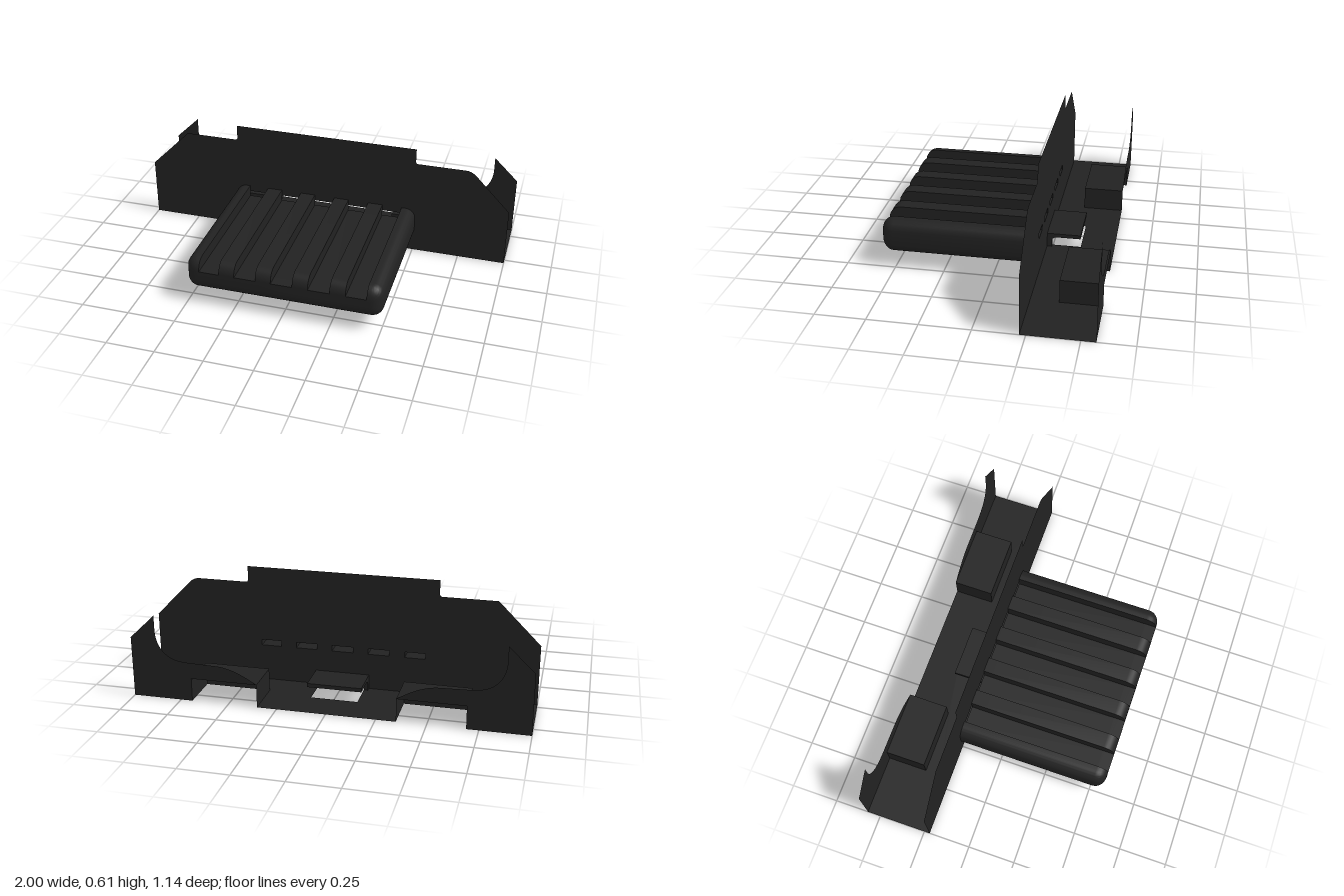
import * as THREE from 'three';
import { toCreasedNormals } from 'three/addons/utils/BufferGeometryUtils.js';

const black = new THREE.MeshStandardMaterial({ color: 0x222222, side: THREE.DoubleSide });
black.name = 'matte black plastic';

const BACK = -0.57, FRONT = -0.22, FLOOR = 0.035;
const RIBS = [-0.285, -0.095, 0.095, 0.285];
const GROOVE_EDGES = [-0.43, ...RIBS.flatMap((x) => [x - 0.04, x + 0.04]), 0.43];

function polygon(points) {
  return new THREE.Shape(points.map(([x, y]) => new THREE.Vector2(x, y)));
}

function rect(x0, x1, y0, y1) {
  return [[x0, y0], [x1, y0], [x1, y1], [x0, y1]];
}

// Upright face plate with shoulders, raised top, bottom notch and slits over the grooves
function facePlate() {
  const s = polygon([[-1, FLOOR], [-0.12, FLOOR], [-0.12, 0.09], [0.12, 0.09], [0.12, FLOOR], [1, FLOOR], [1, 0.35]]);
  s.lineTo(0.81, 0.545);
  s.quadraticCurveTo(0.785, 0.565, 0.76, 0.565);
  s.lineTo(0.51, 0.565);
  s.quadraticCurveTo(0.495, 0.565, 0.495, 0.58);
  s.lineTo(0.495, 0.65);
  s.lineTo(-0.495, 0.65);
  s.lineTo(-0.495, 0.58);
  s.quadraticCurveTo(-0.495, 0.565, -0.51, 0.565);
  s.lineTo(-0.785, 0.565);
  s.lineTo(-1, 0.35);
  for (let i = 0; i < GROOVE_EDGES.length; i += 2) {
    s.holes.push(polygon(rect(GROOVE_EDGES[i], GROOVE_EDGES[i + 1], 0.225, 0.255)));
  }
  return new THREE.ShapeGeometry(s).translate(0, 0, FRONT);
}

// Floor sheet with two rear pocket cut-outs and a front notch
function floorSheet() {
  const s = polygon([
    [-1, FRONT], [-1, BACK], [-0.69, BACK], [-0.69, -0.36], [-0.35, -0.36], [-0.35, BACK],
    [0.35, BACK], [0.35, -0.36], [0.69, -0.36], [0.69, BACK], [1, BACK], [1, FRONT],
    [0.12, FRONT], [0.12, -0.395], [-0.12, -0.395], [-0.12, FRONT],
  ]);
  return new THREE.ShapeGeometry(s).rotateX(Math.PI / 2).translate(0, FLOOR, 0);
}

// Rear corner wall: pointed outer horn sweeping down to a low ledge
function rearWall() {
  const s = new THREE.Shape();
  s.moveTo(0.69, FLOOR);
  s.lineTo(1, FLOOR);
  s.lineTo(1, 0.35);
  s.lineTo(0.87, 0.475);
  s.lineTo(0.87, 0.39);
  s.quadraticCurveTo(0.86, 0.25, 0.72, 0.24);
  s.lineTo(0.55, 0.235);
  s.quadraticCurveTo(0.46, 0.23, 0.35, 0.155);
  s.lineTo(0.69, 0.155);
  return new THREE.ShapeGeometry(s, 10).translate(0, 0, BACK);
}

// Ribbed tongue: comb cross-section swept along z, rounded over at its front edge
function tongue() {
  const W = 0.505, lo = 0.1125, hi = 0.2875, r = 0.055, R = 0.06, mid = 0.2;
  const s = new THREE.Shape();
  s.moveTo(-W + r, lo);
  s.lineTo(W - r, lo);
  s.absarc(W - r, lo + r, r, -Math.PI / 2, 0);
  s.absarc(W - r, hi - r, r, 0, Math.PI / 2);
  for (let i = GROOVE_EDGES.length - 1; i > 0; i -= 2) {
    const a = GROOVE_EDGES[i], b = GROOVE_EDGES[i - 1];
    s.lineTo(a, hi);
    s.lineTo(a, 0.225);
    s.lineTo(b, 0.225);
    s.lineTo(b, hi);
  }
  s.lineTo(-W + r, hi);
  s.absarc(-W + r, hi - r, r, Math.PI / 2, Math.PI);
  s.absarc(-W + r, lo + r, r, Math.PI, Math.PI * 1.5);

  const steps = 8;
  const g = new THREE.ExtrudeGeometry(s, { depth: steps, steps, bevelEnabled: false, curveSegments: 6 });
  const p = g.attributes.position;
  for (let i = 0; i < p.count; i++) {
    const layer = Math.round(p.getZ(i));
    const angle = layer === 0 ? 0 : ((layer - 1) / (steps - 1)) * Math.PI / 2;
    const inset = R * (1 - Math.cos(angle));
    const x = p.getX(i), y = p.getY(i), ax = Math.abs(x);
    const nx = ax > 0.431 ? 0.43 + (ax - 0.43) * (0.075 - inset) / 0.075 : ax;
    const groove = Math.abs(y - 0.225) < 1e-4 && ax < 0.431;
    const ny = groove ? y : mid + (y - mid) * (0.0875 - inset) / 0.0875;
    p.setXYZ(i, Math.sign(x) * nx, ny, layer === 0 ? FRONT : 0.57 - R + R * Math.sin(angle));
  }
  return toCreasedNormals(g, 0.6);
}

// Small hooked side of the centre latch, drawn in z and y
function latchSide() {
  const s = new THREE.Shape();
  s.moveTo(0.22, FLOOR);
  s.lineTo(0.245, FLOOR);
  s.lineTo(0.245, 0.072);
  s.quadraticCurveTo(0.25, 0.09, 0.28, 0.09);
  s.lineTo(0.395, 0.09);
  s.lineTo(0.395, 0.11);
  s.lineTo(0.22, 0.11);
  const g = new THREE.ExtrudeGeometry(s, { depth: 0.02, bevelEnabled: false });
  return g.rotateY(Math.PI / 2).translate(0.12, 0, 0);
}

export function createModel() {
  const model = new THREE.Group();
  model.name = 'ribbedBracket';
  const add = (name, geometry, parent = model) => {
    const mesh = new THREE.Mesh(geometry, black);
    mesh.name = name;
    parent.add(mesh);
    return mesh;
  };

  add('facePlate', facePlate());
  add('floorSheet', floorSheet());
  add('ribbedTongue', tongue());

  // Centre latch roof
  add('latchRoof', new THREE.BoxGeometry(0.24, 0.02, 0.175).translate(0, 0.1, -0.3075));

  // Mirrored rear walls, latch sides and floor pockets
  for (const side of [1, -1]) {
    const label = side > 0 ? 'left' : 'right';
    const wall = rearWall();
    const hook = latchSide();
    if (side < 0) {
      wall.rotateY(Math.PI).translate(0, 0, 2 * BACK);
      hook.translate(-0.26, 0, 0);
    }
    add(label + 'RearWall', wall);
    add(label + 'LatchSide', hook);

    const pocket = new THREE.Group();
    pocket.name = label + 'Pocket';
    pocket.position.set(side * 0.52, 0.095, -0.465);
    model.add(pocket);
    add('pocketRoof', new THREE.PlaneGeometry(0.34, 0.21).rotateX(-Math.PI / 2).translate(0, 0.06, 0), pocket);
    add('pocketEnd', new THREE.PlaneGeometry(0.34, 0.12).translate(0, 0, 0.105), pocket);
    for (const x of [-0.17, 0.17]) {
      add('pocketSide', new THREE.PlaneGeometry(0.21, 0.12).rotateY(Math.PI / 2).translate(x, 0, 0), pocket);
    }
  }
  return model;
}
